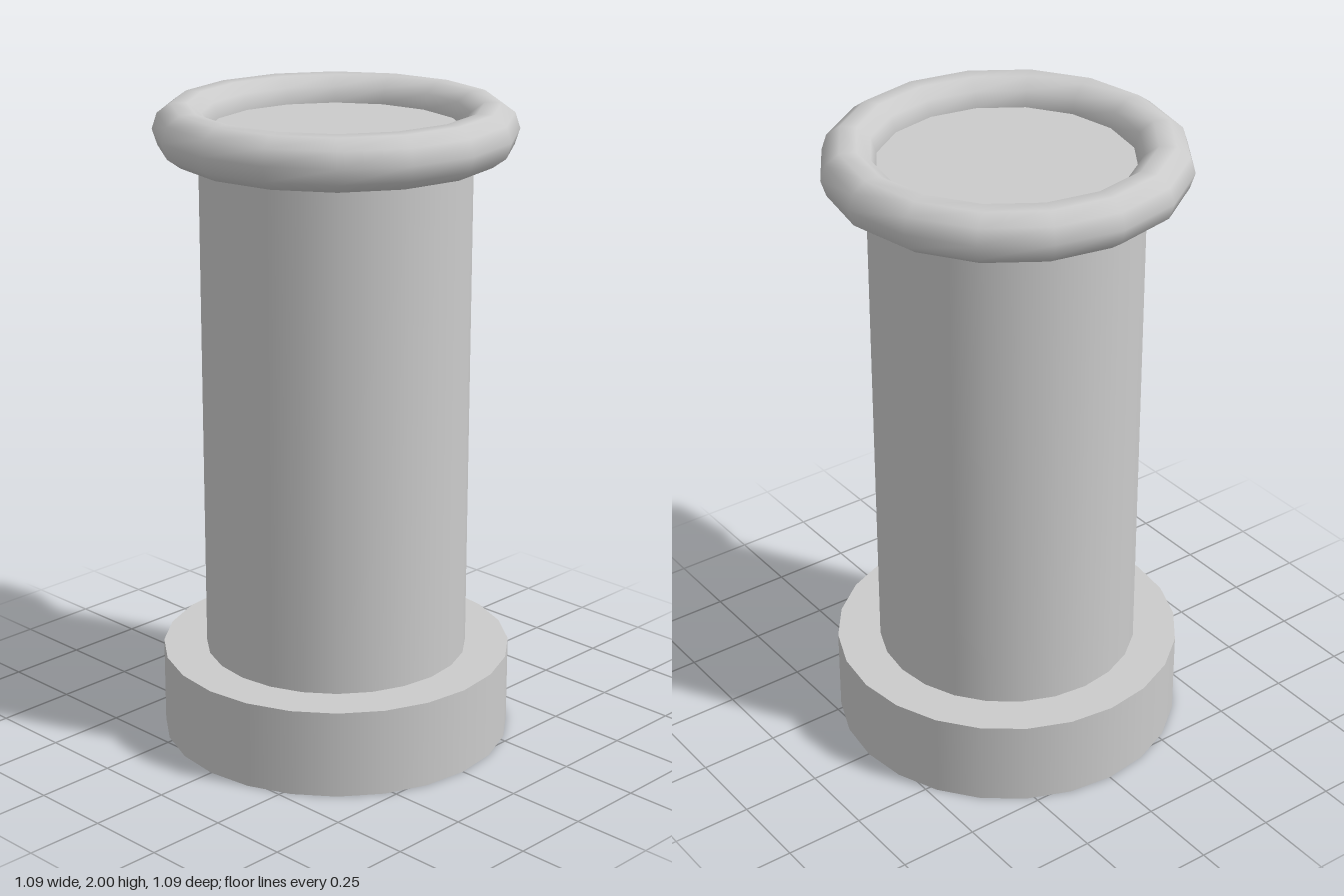
import * as THREE from 'three';

export function createModel() {
  const group = new THREE.Group();
  const material = new THREE.MeshStandardMaterial({ color: 0xcccccc });

  const add = (name, geometry, y) => {
    const mesh = new THREE.Mesh(geometry, material);
    mesh.name = name;
    mesh.position.y = y;
    group.add(mesh);
  };
  const drum = (radius, height) => new THREE.CylinderGeometry(radius, radius, height, 24);

  const baseHeight = 0.275;
  const rimY = 1.9225;

  // Wide foot
  add('base', drum(0.546, baseHeight), baseHeight / 2);

  // Column, closed at the middle height of the rim
  add('column', drum(0.41, rimY - baseHeight), (rimY + baseHeight) / 2);

  // Rounded ring around the top
  add('rim', new THREE.TorusGeometry(0.4645, 0.0815, 10, 16).rotateX(-Math.PI / 2), rimY);

  return group;
}
